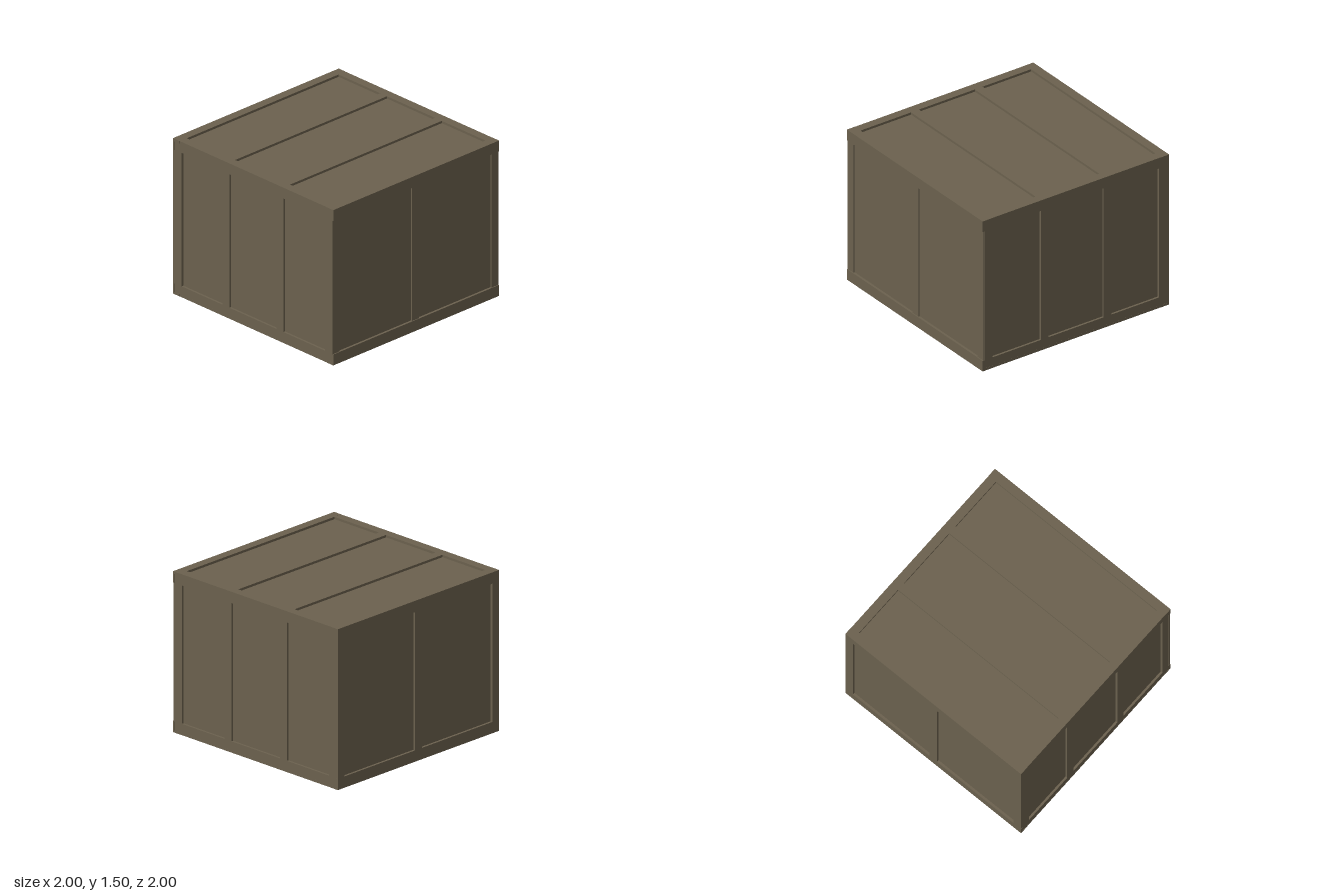
import * as THREE from 'three';

export function createModel() {
  const crate = new THREE.Group();
  crate.name = 'crate';
  const wood = new THREE.MeshStandardMaterial({ color: 0x6b614e });
  wood.name = 'weathered wood';

  // Box given by its minimum and maximum on each axis
  function board(name, x0, x1, y0, y1, z0, z1) {
    const mesh = new THREE.Mesh(new THREE.BoxGeometry(x1 - x0, y1 - y0, z1 - z0), wood);
    mesh.name = name;
    mesh.position.set((x0 + x1) / 2, (y0 + y1) / 2, (z0 + z1) / 2);
    crate.add(mesh);
  }

  const H = 1.495, T = 0.022, W = 0.083, R = 0.105;
  const I = 1 - T; // half-width of the panelled core

  // Recessed panels on all six sides
  board('panels', -I, I, T, H - T, -I, I);

  // Front and back: rails, corner posts and two battens
  for (const [side, z0, z1] of [['front', I, 0.998], ['back', -0.998, -I]]) {
    board(side + 'BottomRail', -I, I, T, R, z0, z1);
    board(side + 'TopRail', -I, I, H - R, H - T, z0, z1);
    for (const x of [-0.935, -0.34, 0.333, 0.935])
      board(side + 'Batten', x - W / 2, x + W / 2, R, H - R, z0, z1);
  }

  // Left and right: full-length rails, corner posts and a middle batten
  for (const [side, x0, x1, post] of [['left', I, 1, 0.992], ['right', -1, -I, -1]]) {
    board(side + 'BottomRail', x0, x1, T, R, -1, 1);
    board(side + 'TopRail', x0, x1, H - R, H - T, -1, 1);
    const a = side === 'left' ? I : post;
    const b = side === 'left' ? post : -I;
    for (const z of [-0.957, 0, 0.957])
      board(side + 'Batten', a, b, R, H - R, z - W / 2, z + W / 2);
  }

  // Lid and base: side rails, end rails between them and two battens
  for (const [side, y0, y1] of [['lid', H - T, H], ['base', 0, T]]) {
    for (const s of [-1, 1]) {
      const x = s * 0.9575, z = s * 0.957;
      board(side + 'SideRail', x - 0.0425, x + 0.0425, y0, y1, -1, 1);
      board(side + 'EndRail', -0.915, 0.915, y0, y1, z - W / 2, z + W / 2);
    }
    for (const x of [-0.353, 0.331])
      board(side + 'Batten', x - W / 2, x + W / 2, y0, y1, -0.9155, 0.9155);
  }
  return crate;
}
